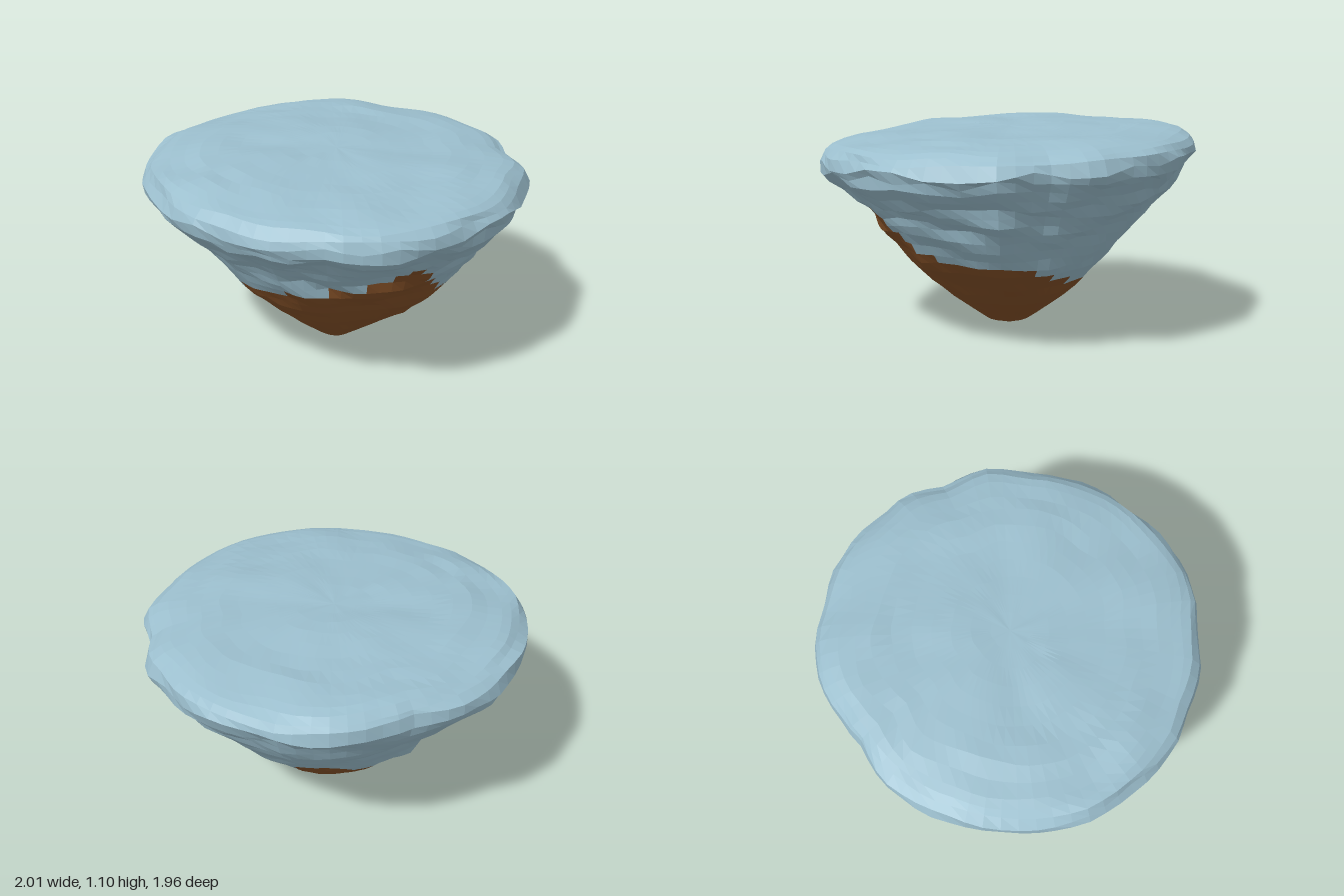
import * as THREE from 'three';

const COLS = 72;

// Outer rim radius and soil line height every 15 degrees, from +x towards +z
const RIM = [1, .99, 1, .985, .995, 1, .965, .985, .97, .965, .975, 1.01,
  1, .99, .985, .97, .93, .985, .975, .98, .99, .99, 1, .965];
const SOIL = [.43, .43, .44, .56, .71, .58, .55, .53, .49, .46, .42, .42,
  .43, .41, .41, .42, .39, .36, .33, .32, .31, .29, .35, .42];

// Side profiles: radius at each height, facing +x, +z, -x and -z
const HEIGHTS = [0, .03, .1, .2, .4, .6, .75, .87, .95];
const SIDES = [
  [0, .1, .21, .37, .64, .79, .88, .97, 1],
  [0, .12, .22, .36, .57, .7, .82, .98, 1],
  [0, .1, .18, .31, .54, .68, .85, .97, 1],
  [0, .1, .2, .33, .51, .69, .85, .94, 1],
];

// Rows up the flank, then [radius, height] rows in across the top
const FLANK = [0, .01, .03, .065, .12, .18, .24, .29, .34, .39, .44, .49, .54, .59, .64, .68, .72, .76, .81, .86, .9, .94];
const TOP = [[.985, .985], [.95, 1.015], [.91, 1.033], [.86, 1.045], [.78, 1.058], [.69, 1.066], [.6, 1.072],
  [.5, 1.076], [.4, 1.08], [.3, 1.082], [.2, 1.084], [.1, 1.084], [0, 1.084]];

const lerp = THREE.MathUtils.lerp, smooth = THREE.MathUtils.smoothstep;
const mod = (a, n) => ((a % n) + n) % n;

// Value from a table that wraps round the full circle
function around(table, turn) {
  const t = turn * table.length, i = Math.floor(t);
  return lerp(table[mod(i, table.length)], table[mod(i + 1, table.length)], t - i);
}

function profile(side, y) {
  let i = 1;
  while (i < HEIGHTS.length - 1 && y > HEIGHTS[i]) i++;
  const t = Math.min(1, (y - HEIGHTS[i - 1]) / (HEIGHTS[i] - HEIGHTS[i - 1]));
  return lerp(side[i - 1], side[i], t);
}

// Repeatable roughness between -1 and 1
function hash(i, j, k) {
  const s = Math.sin(i * 127.1 + j * 311.7 + k * 74.7) * 43758.5453;
  return (s - Math.floor(s)) * 2 - 1;
}

function noise(u, v, k, period) {
  const i = Math.floor(u), j = Math.floor(v);
  const s = smooth(u - i, 0, 1), t = smooth(v - j, 0, 1);
  const h = (a, b) => hash(mod(a, period), b, k);
  return lerp(lerp(h(i, j), h(i + 1, j), s), lerp(h(i, j + 1), h(i + 1, j + 1), s), t);
}

// Chipped outline of the rim
const rim = turn => around(RIM, turn) - .004 + .016 * noise(turn * 30, 0, 9, 30);

// Flank point: fluted low down, broken ledges on the front, lumpy near the rim
function flankPoint(turn, y, row) {
  const a = turn * Math.PI * 2;
  const q = turn * 4, s = Math.floor(q), t = smooth(q - s, 0, 1);
  let r = lerp(profile(SIDES[s % 4], y), profile(SIDES[(s + 1) % 4], y), t);
  r *= lerp(1, rim(turn), Math.min(1, y / .9));
  const body = Math.sin(Math.PI * Math.min(1, y / .97));
  const ledgy = Math.max(0, Math.cos(a - 1)) * smooth(y, .45, .62) * (.5 + .5 * noise(turn * 16, y * 5, 10, 16));
  const wobble = noise(turn * 12, 0, 4, 12) * .1;
  r += body * (noise(turn * 36, y * 2.5, 1, 36) * .015 + noise(turn * 18, row * .6, 2, 18) * .014);
  r += body * ledgy * .03 * Math.sin((y + wobble) * 36 - 1);
  r += smooth(y, .7, .85) * .014 * noise(turn * 24, row * .8, 11, 24);
  const lift = y * .028 * noise(turn * 36, row * .7, 3, 36) - y * y * r * (.03 * Math.sin(a) + .018 * Math.cos(a));
  return new THREE.Vector3(r * Math.cos(a), y + lift, r * Math.sin(a));
}

// Top point: shallow layered ripples, tilted down to the front and left
function topPoint(turn, f, y, row) {
  const a = turn * Math.PI * 2;
  const r = f * (rim(turn) + .02 * noise(turn * 24, row * .8, 5, 24));
  const x = r * Math.cos(a), z = r * Math.sin(a);
  const ripple = .01 * noise(x * 3 + 20, z * 4, 6, 1000) + .015 * f * noise(turn * 18, row * .8, 7, 18);
  return new THREE.Vector3(x, y + ripple - .032 * z - .02 * x, z);
}

function mesh(name, positions, color) {
  const geometry = new THREE.BufferGeometry();
  geometry.setAttribute('position', new THREE.Float32BufferAttribute(positions, 3));
  geometry.computeVertexNormals();
  const m = new THREE.Mesh(geometry, new THREE.MeshStandardMaterial({ color, flatShading: true }));
  m.name = name;
  return m;
}

export function createModel() {
  const group = new THREE.Group();
  group.name = 'floatingRock';

  const rings = [
    ...FLANK.map((y, row) => Array.from({ length: COLS }, (_, c) => flankPoint(c / COLS, y, row))),
    ...TOP.map(([f, y], row) => Array.from({ length: COLS }, (_, c) => topPoint(c / COLS, f, y, row))),
  ];

  // Sort each patch into stone or soil along a jagged line
  const stone = [], soil = [];
  for (let i = 0; i < rings.length - 1; i++) {
    for (let c = 0; c < COLS; c++) {
      const n = (c + 1) % COLS;
      const p = rings[i][c], q = rings[i + 1][c], r = rings[i + 1][n], s = rings[i][n];
      const middle = (p.y + q.y + r.y + s.y) / 4;
      const line = around(SOIL, (c + .5) / COLS) + .015 * hash(Math.floor(c / 2), 0, 8);
      const out = middle < line ? soil : stone;
      for (const v of [p, q, r, p, r, s]) out.push(v.x, v.y, v.z);
    }
  }
  group.add(mesh('stoneTop', stone, 0x9cbfce), mesh('soilBase', soil, 0x835027));
  return group;
}
